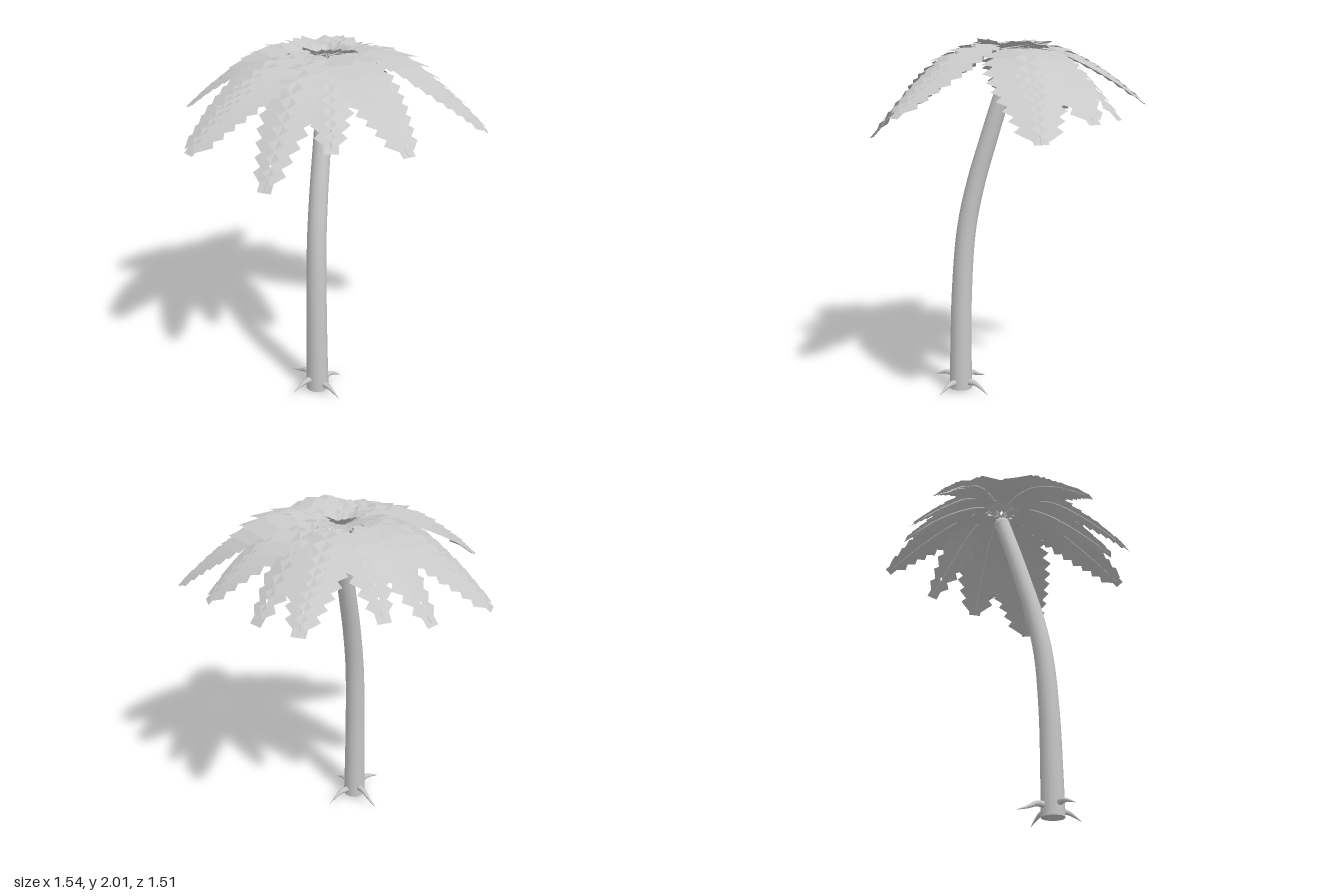
import * as THREE from 'three';

const V = (x, y, z) => new THREE.Vector3(x, y, z);
const grey = new THREE.MeshStandardMaterial({ color: 0xc8c8c8, side: THREE.DoubleSide });
grey.name = 'light grey';

// Round tube along a curve whose radius follows radiusAt(t)
function taperedTube(curve, segments, sides, radiusAt) {
  const geo = new THREE.TubeGeometry(curve, segments, 1, sides);
  const pos = geo.attributes.position, p = V(0, 0, 0);
  for (let i = 0; i < pos.count; i++) {
    const t = Math.floor(i / (sides + 1)) / segments;
    const c = curve.getPointAt(t);
    p.fromBufferAttribute(pos, i).sub(c).multiplyScalar(radiusAt(t)).add(c);
    pos.setXYZ(i, p.x, p.y, p.z);
  }
  geo.computeBoundingSphere();
  return geo;
}

function add(group, name, geo) {
  const mesh = new THREE.Mesh(geo, grey);
  mesh.name = name;
  group.add(mesh);
  return mesh;
}

const lerp = THREE.MathUtils.lerp;

// Half width of a frond along its length, as a share of its widest point
function profile(s) {
  const keys = [[0, 0.3], [0.12, 0.55], [0.28, 0.97], [0.44, 1], [0.62, 0.84], [0.8, 0.6], [1, 0.38]];
  const k = Math.max(1, keys.findIndex(e => e[0] >= s));
  const [a, b] = [keys[k - 1], keys[k]];
  return lerp(a[1], b[1], (s - a[0]) / (b[0] - a[0]));
}

// Arching frond: thin stem, pairs of broad overlapping leaflets and one tip leaflet
function makeFrond([tipX, tipY, tipZ, halfWidth], index) {
  const frond = new THREE.Group();
  frond.name = 'frond' + (index + 1);
  const cx = 0.11, cz = -0.03;
  const dx = tipX - cx, dz = tipZ - cz;
  const length = Math.hypot(dx, dz);
  const along = (f, y) => V(cx + dx * f, y, cz + dz * f);
  const lift = (index % 3) * 0.008;
  const curve = new THREE.CatmullRomCurve3([
    along(0, 1.91), along(0.07, 1.948), along(0.2, 1.96 + lift),
    along(0.4, 1.92 + lift), along(0.7, lerp(tipY, 1.94, 0.55)), along(1, tipY),
  ]);
  add(frond, 'stem', taperedTube(curve, 16, 5, t => lerp(0.005, 0.002, t)));

  const side = V(-dz / length, 0, dx / length);
  const points = [], indices = [];
  // Rectangle running from the stem along dir, spread evenly across
  const leaflet = (root, dir, across, len, wid) => {
    const n = points.length / 3;
    for (const [u, v] of [[0, -0.5], [1, -0.5], [1, 0.5], [0, 0.5]]) {
      const p = root.clone().addScaledVector(dir, u * len).addScaledVector(across, v * wid);
      points.push(p.x, p.y, p.z);
    }
    indices.push(n, n + 1, n + 2, n, n + 2, n + 3);
  };

  const pairs = Math.round(length * 12);
  for (let i = 0; i <= pairs; i++) {
    const s = lerp(0.06, 0.87, i / pairs);
    const root = curve.getPointAt(s), tangent = curve.getTangentAt(s);
    const up = side.clone().cross(tangent).normalize();
    if (up.y < 0) up.negate();
    root.addScaledVector(up, 0.006);
    // Leaflets lie a little flatter than the stem, like shingles
    const ahead = tangent.clone().addScaledVector(up, 0.1).normalize();
    const h = halfWidth * profile(s);
    for (const m of [-1, 1]) {
      const out = side.clone().multiplyScalar(m).addScaledVector(up, -0.16).normalize();
      const dir = out.clone().add(ahead).normalize();
      const across = out.clone().sub(ahead).normalize();
      leaflet(root, dir, across, h * 0.95, h * 0.95);
    }
  }
  const end = curve.getPointAt(0.91);
  leaflet(end, curve.getTangentAt(0.97), side, 0.09, 0.075);

  const geo = new THREE.BufferGeometry();
  geo.setAttribute('position', new THREE.Float32BufferAttribute(points, 3));
  geo.setIndex(indices);
  geo.computeVertexNormals();
  add(frond, 'leaflets', geo);
  return frond;
}

export function createModel() {
  const palm = new THREE.Group();
  palm.name = 'palmTree';

  // Leaning trunk with a closed foot
  const trunkCurve = new THREE.CatmullRomCurve3([
    V(-0.132, 0.015, 0.142), V(-0.132, 0.3, 0.137), V(-0.128, 0.6, 0.13), V(-0.107, 0.95, 0.112),
    V(-0.06, 1.22, 0.083), V(-0.01, 1.42, 0.054), V(0.045, 1.63, 0.022), V(0.11, 1.86, -0.015),
  ]);
  add(palm, 'trunk', taperedTube(trunkCurve, 28, 14, t => lerp(0.066, 0.046, Math.pow(t, 0.8))));
  const foot = add(palm, 'trunkFoot', new THREE.CircleGeometry(0.066, 14));
  foot.rotation.x = Math.PI / 2;
  foot.position.set(-0.132, 0.015, 0.142);

  // Crown bud where the fronds meet
  const bud = add(palm, 'crownBud', new THREE.SphereGeometry(0.048, 10, 8));
  bud.position.set(0.112, 1.865, -0.017);

  // Thorn-like roots: direction x, z, base height, tip height
  const roots = [[1, 0.06, 0.055, 0.005], [-1, -0.06, 0.085, 0.055], [-0.1, 1, 0.055, 0.02], [0.1, -1, 0.075, 0.025]];
  for (const [x, z, y0, y1] of roots) {
    const reach = z < -0.5 ? 0.225 : 0.19;
    const at = (f, y) => V(-0.13 + x * f, y, 0.14 + z * f);
    const curve = new THREE.CatmullRomCurve3([
      at(0.04, y0), at(0.1, y0 + 0.002), at(0.15, lerp(y0, y1, 0.45)), at(reach, y1),
    ]);
    add(palm, 'root', taperedTube(curve, 8, 8, t => lerp(0.022, 0.001, t)));
  }

  // Fronds: tip x, y, z and half width
  const fronds = [
    [-0.76, 1.57, -0.16, 0.22], [-0.29, 1.58, -0.73, 0.2], [0.08, 1.6, -0.67, 0.15],
    [0.3, 1.66, -0.56, 0.14], [0.71, 1.66, -0.43, 0.17], [0.71, 1.6, -0.1, 0.15],
    [0.75, 1.6, 0.26, 0.2], [0.68, 1.52, 0.66, 0.23], [-0.12, 1.62, 0.74, 0.19],
    [-0.65, 1.45, 0.27, 0.17], [-0.34, 1.63, 0.43, 0.16],
  ];
  fronds.forEach((f, i) => palm.add(makeFrond(f, i)));
  return palm;
}
